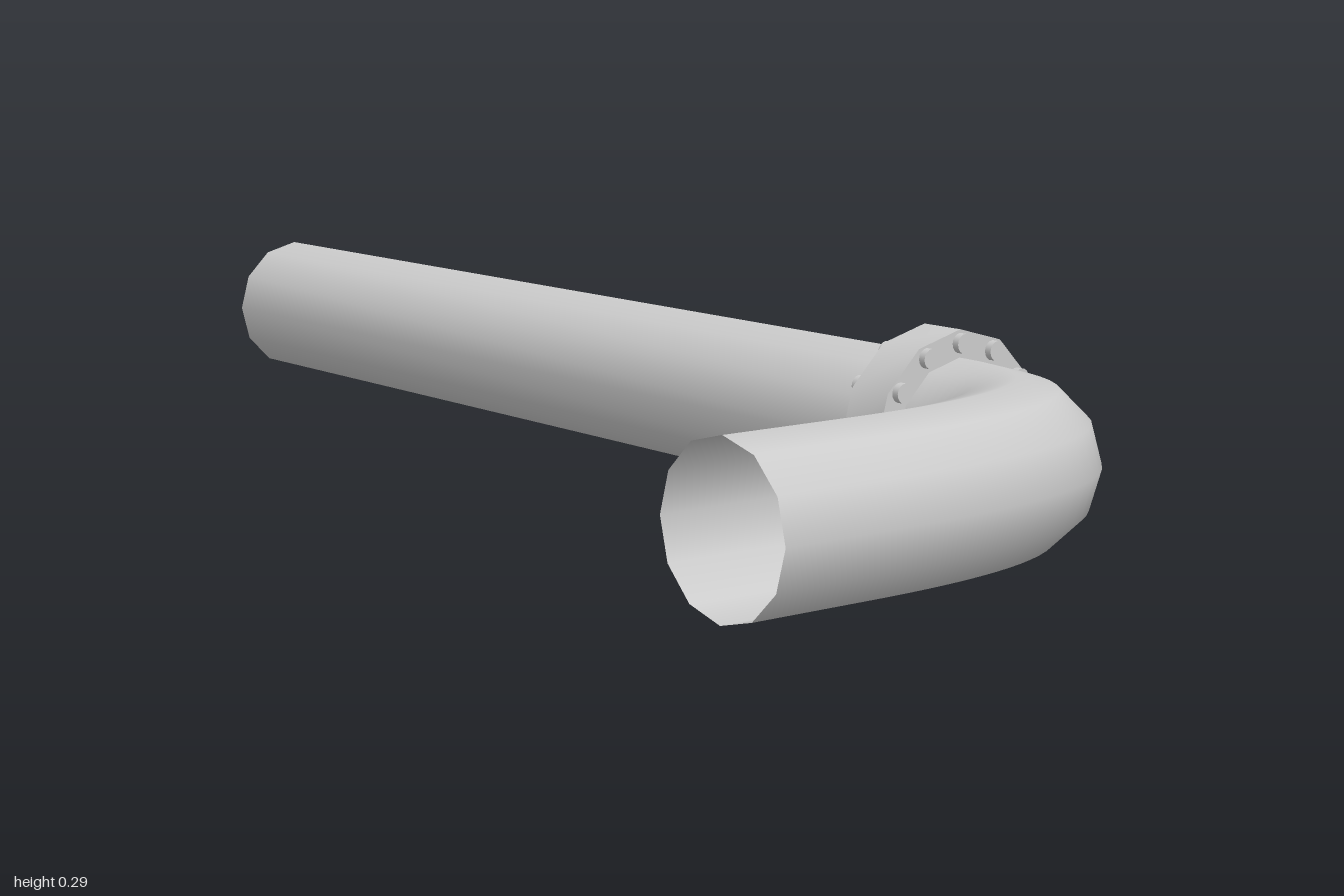
import * as THREE from 'three';
import { toCreasedNormals } from 'three/addons/utils/BufferGeometryUtils.js';

const AXIS_Y = 0.147, AXIS_Z = -0.231, PIPE_R = 0.108, SIDES = 12;
const JOINT_X = 0.611;
const END_X = 0.892;

export function createModel() {
  const model = new THREE.Group();
  const grey = new THREE.MeshStandardMaterial({ color: 0xcccccc });
  const open = new THREE.MeshStandardMaterial({ color: 0xcccccc, side: THREE.DoubleSide });
  const at = (x, z) => new THREE.Vector3(x, AXIS_Y, z);
  const add = (parent, name, geometry, material) => {
    const mesh = new THREE.Mesh(geometry, material);
    mesh.name = name;
    parent.add(mesh);
    return mesh;
  };

  // Long straight pipe, open at its end
  const run = new THREE.LineCurve3(at(-1, AXIS_Z), at(JOINT_X, AXIS_Z));
  add(model, 'straightPipe', new THREE.TubeGeometry(run, 1, PIPE_R, SIDES), open);

  // Elbow: short lead-in, tightening bend, straight outlet
  const elbow = new THREE.CurvePath();
  elbow.add(new THREE.LineCurve3(at(JOINT_X, AXIS_Z), at(0.65, AXIS_Z)));
  elbow.add(new THREE.CubicBezierCurve3(
    at(0.65, AXIS_Z), at(0.8, AXIS_Z), at(END_X, -0.13), at(END_X, 0.2)));
  elbow.add(new THREE.LineCurve3(at(END_X, 0.2), at(END_X, 0.377)));
  add(model, 'elbowPipe', new THREE.TubeGeometry(elbow, 32, PIPE_R, SIDES), open);

  // Flange joint, built around the pipe axis
  const flange = new THREE.Group();
  flange.name = 'flange';
  flange.position.set(JOINT_X, AXIS_Y, AXIS_Z);
  model.add(flange);

  const half = 0.033, outer = 0.145, inner = PIPE_R - 0.001;
  const profile = [[inner, -half], [outer, -half], [outer, half], [inner, half]]
    .map(([r, h]) => new THREE.Vector2(r, h));
  const ring = new THREE.LatheGeometry(profile, SIDES);
  ring.rotateZ(-Math.PI / 2);
  add(flange, 'flangeRing', toCreasedNormals(ring, 0.6), grey);

  // Bolts through the flange, showing on both faces
  const bolts = 13;
  const boltShape = new THREE.CylinderGeometry(0.0133, 0.0133, 0.086, 16);
  boltShape.rotateZ(Math.PI / 2);
  for (let i = 0; i < bolts; i++) {
    const a = (i / bolts) * Math.PI * 2;
    add(flange, 'bolt', boltShape, grey)
      .position.set(0, Math.cos(a) * 0.127, -Math.sin(a) * 0.127);
  }
  return model;
}
